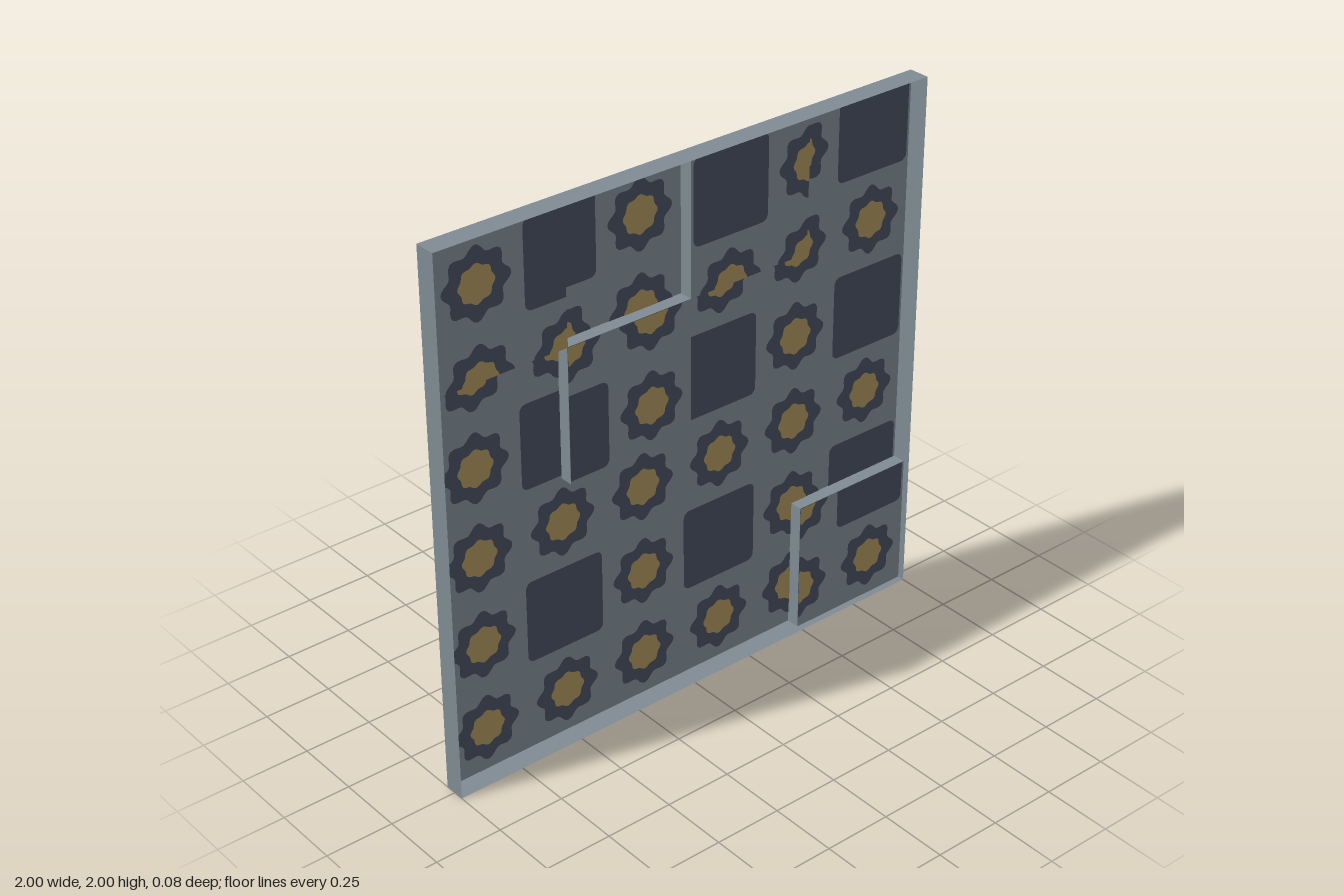
import * as THREE from 'three';

const HALF_DEPTH = 0.04, BASE_Z = -0.036, RAISED_Z = 0.014, CELL = 0.5;
// stepped cells, bottom row first: 1 = pushed forward
const RAISED = [[0, 0, 0, 1], [0, 0, 0, 0], [0, 1, 0, 0], [1, 0, 1, 0]];
const level = (c, r) => (RAISED[r][c] ? RAISED_Z : BASE_Z);

// Clip a convex polygon to one side of an axis line
function clip(poly, axis, limit, sign) {
  const out = [];
  poly.forEach((a, i) => {
    const b = poly[(i + 1) % poly.length];
    const da = sign * (a[axis] - limit), db = sign * (b[axis] - limit);
    if (da >= 0) out.push(a);
    if (da * db < 0) {
      const t = da / (da - db);
      out.push([a[0] + (b[0] - a[0]) * t, a[1] + (b[1] - a[1]) * t]);
    }
  });
  return out;
}

// Lay a motif onto the stepped panel, front and back, split where the level changes
function addMotif(positions, cx, cy, outline, lift) {
  for (let r = 0; r < 4; r++) for (let c = 0; c < 4; c++) {
    const x0 = -1 + c * CELL, y0 = r * CELL, z = level(c, r);
    outline.forEach((p, i) => {
      const q = outline[(i + 1) % outline.length];
      let poly = [[cx, cy], [cx + p[0], cy + p[1]], [cx + q[0], cy + q[1]]];
      poly = clip(poly, 0, x0, 1);
      poly = clip(poly, 0, x0 + CELL, -1);
      poly = clip(poly, 1, y0, 1);
      poly = clip(poly, 1, y0 + CELL, -1);
      for (let k = 1; k + 1 < poly.length; k++) {
        const [a, b, d] = [poly[0], poly[k], poly[k + 1]];
        positions.push(...a, z + lift, ...b, z + lift, ...d, z + lift);
        positions.push(...a, z - lift, ...d, z - lift, ...b, z - lift);
      }
    });
  }
}

// Eight-lobed rosette outline
function rosette(radius, wave, n = 64) {
  return Array.from({ length: n }, (_, i) => {
    const t = (i / n) * Math.PI * 2, r = radius + wave * Math.cos(8 * t);
    return [r * Math.cos(t), r * Math.sin(t)];
  });
}

// Rounded square outline
function roundedSquare(half, radius) {
  const pts = [];
  for (let q = 0; q < 4; q++) for (let k = 0; k <= 4; k++) {
    const t = (q + k / 4) * Math.PI / 2, m = (q + 0.5) * Math.PI / 2;
    pts.push([
      Math.sign(Math.cos(m)) * (half - radius) + radius * Math.cos(t),
      Math.sign(Math.sin(m)) * (half - radius) + radius * Math.sin(t),
    ]);
  }
  return pts;
}

export function createModel() {
  const group = new THREE.Group();
  const material = (name, color) => {
    const m = new THREE.MeshStandardMaterial({ color, side: THREE.DoubleSide });
    m.name = name;
    return m;
  };
  const grey = material('slate grey', 0x7f8b93);
  const navy = material('dark blue', 0x484e60);
  const gold = material('dull gold', 0xab925c);

  const plane = (name, w, h, x, y, z, rx = 0, ry = 0) => {
    const mesh = new THREE.Mesh(new THREE.PlaneGeometry(w, h), grey);
    mesh.name = name;
    mesh.position.set(x, y, z);
    mesh.rotation.set(rx, ry, 0);
    group.add(mesh);
  };

  // Outer rim
  const depth = HALF_DEPTH * 2, quarter = Math.PI / 2;
  for (const s of [-1, 1]) {
    plane('sideRim', depth, 2, s, 1, 0, 0, s * quarter);
    plane('endRim', 2, depth, 0, 1 + s, 0, -s * quarter, 0);
  }

  // Panel cells and the step walls between unequal neighbours
  const step = RAISED_Z - BASE_Z, midZ = (RAISED_Z + BASE_Z) / 2;
  for (let r = 0; r < 4; r++) for (let c = 0; c < 4; c++) {
    const x = -0.75 + c * CELL, y = 0.25 + r * CELL, here = RAISED[r][c];
    plane('panelCell', CELL, CELL, x, y, level(c, r));
    if (c < 3 && here !== RAISED[r][c + 1])
      plane('stepWall', step, CELL, x + CELL / 2, y, midZ, 0, here ? quarter : -quarter);
    if (r < 3 && here !== RAISED[r + 1][c])
      plane('stepLedge', CELL, step, x, y + CELL / 2, midZ, here ? -quarter : quarter, 0);
  }

  // Six by six pattern of rosettes and rounded squares
  const petals = [], squares = [], centres = [];
  const flower = rosette(0.118, 0.012), core = rosette(0.066, 0.004);
  const tile = roundedSquare(0.157, 0.025);
  for (let j = 0; j < 6; j++) for (let i = 0; i < 6; i++) {
    const x = -1 + (i + 0.5) / 3, y = (j + 0.5) / 3 + 0.001;
    if (i % 2 && j % 2) addMotif(squares, x, y, tile, 0.0015);
    else {
      addMotif(petals, x, y, flower, 0.0015);
      addMotif(centres, x, y, core, 0.003);
    }
  }
  const decal = (name, positions, mat) => {
    const geometry = new THREE.BufferGeometry();
    geometry.setAttribute('position', new THREE.Float32BufferAttribute(positions, 3));
    geometry.computeVertexNormals();
    const mesh = new THREE.Mesh(geometry, mat);
    mesh.name = name;
    group.add(mesh);
  };
  decal('rosettePetals', petals, navy);
  decal('roundedSquares', squares, navy);
  decal('rosetteCentres', centres, gold);
  return group;
}
